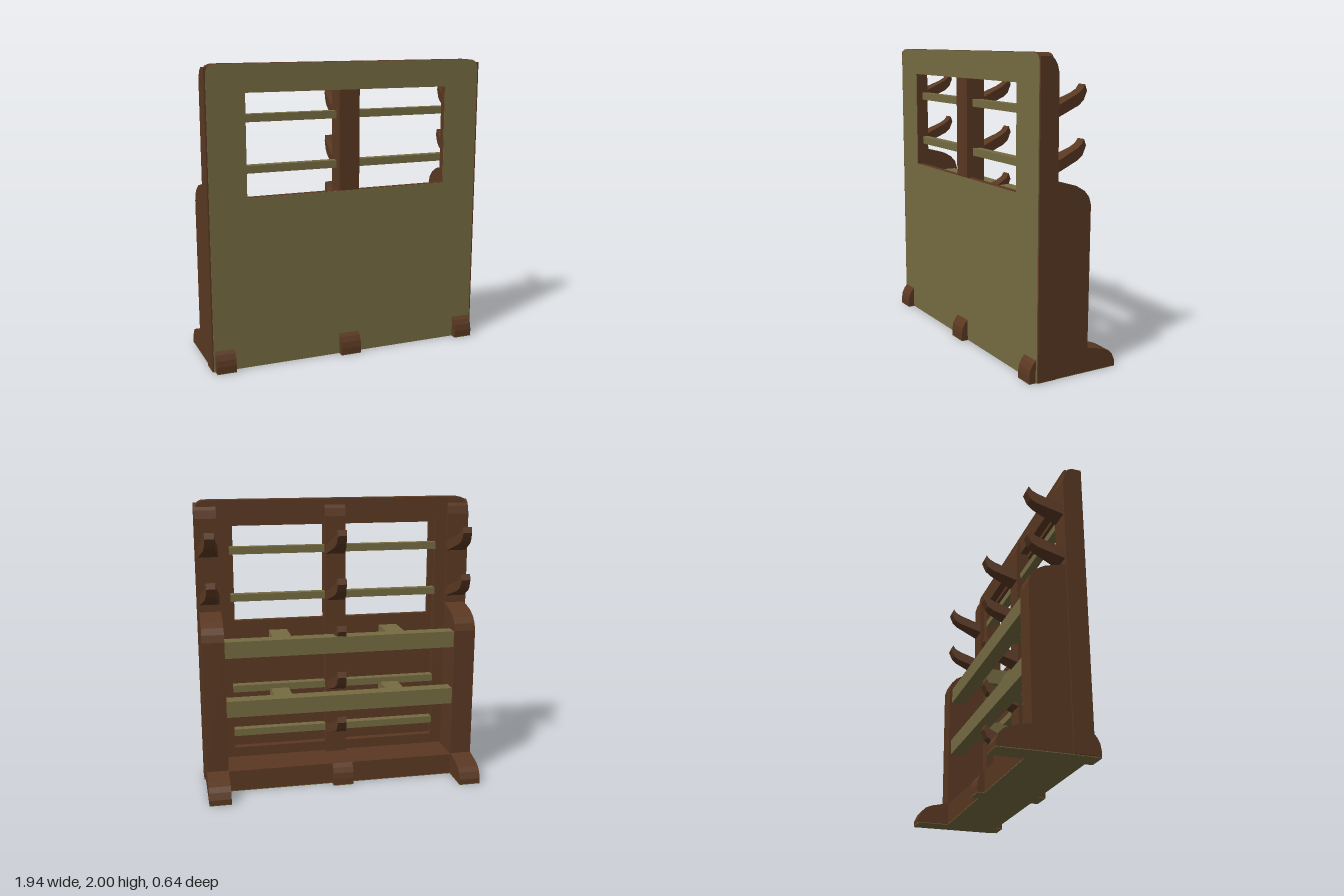
import * as THREE from 'three';

const FRONT = 0.27, SKIN = 0.004;

export function createModel() {
  const group = new THREE.Group();
  const brown = new THREE.MeshStandardMaterial({ color: 0x5a3822 });
  brown.name = 'dark wood';
  const olive = new THREE.MeshStandardMaterial({ color: 0x756b41 });
  olive.name = 'olive wood';

  const add = (name, geo, mat) => {
    const mesh = new THREE.Mesh(geo, mat);
    mesh.name = name;
    group.add(mesh);
    return mesh;
  };
  // Box given by its limits on each axis
  const box = (name, [x0, x1], [y0, y1], [z0, z1], mat) => {
    const geo = new THREE.BoxGeometry(x1 - x0, y1 - y0, z1 - z0);
    geo.translate((x0 + x1) / 2, (y0 + y1) / 2, (z0 + z1) / 2);
    return add(name, geo, mat);
  };
  // Side profile of [z, y] points, extruded across x
  const profile = (points, x, width) => {
    const shape = new THREE.Shape(points.map(([z, y]) => new THREE.Vector2(z, y)));
    const geo = new THREE.ExtrudeGeometry(shape, { depth: width, bevelEnabled: false });
    geo.translate(0, 0, -width / 2);
    geo.rotateY(-Math.PI / 2);
    geo.translate(x, 0, 0);
    return geo;
  };
  // Board with rounded top corners and one rectangular opening
  const board = (name, half, top, hole, z0, z1, mat) => {
    const r = 0.07, s = new THREE.Shape();
    s.moveTo(-half, SKIN);
    s.lineTo(half, SKIN);
    s.lineTo(half, top - r);
    s.quadraticCurveTo(half, top, half - r, top);
    s.lineTo(-half + r, top);
    s.quadraticCurveTo(-half, top, -half, top - r);
    const [hx, y0, y1] = hole, h = new THREE.Path();
    h.moveTo(-hx, y0);
    h.lineTo(-hx, y1);
    h.lineTo(hx, y1);
    h.lineTo(hx, y0);
    s.holes.push(h);
    const geo = new THREE.ExtrudeGeometry(s, { depth: z1 - z0, bevelEnabled: false, curveSegments: 5 });
    geo.translate(0, 0, z0);
    return add(name, geo, mat);
  };

  // Frame: deep back layer, thin lower panel, olive facing
  board('backFrame', 0.96, 2, [0.74, 0.22, 1.85], 0.17, 0.225, brown);
  board('windowPanel', 0.96, 2, [0.71, 1.15, 1.82], 0.225, FRONT, brown);
  board('frontFacing', 0.96, 2, [0.71, 1.15, 1.82], FRONT, FRONT + SKIN, olive);

  // Posts with a rounded back top edge
  const postPoints = (bottom) => [
    [FRONT, bottom], [FRONT, 1.98], [0.2, 1.98], [0.175, 1.965],
    [0.155, 1.935], [0.14, 1.88], [0.14, bottom],
  ];
  for (const s of [-1, 1]) add('sidePost', profile(postPoints(SKIN), s * 0.895, 0.15), brown);
  add('centerPost', profile(postPoints(0.14), 0, 0.145), brown);

  // Cheeks flowing into the long back feet
  const cheek = [
    [0.14, SKIN], [0.14, 1.24], [0, 1.205], [-0.06, 1.17], [-0.095, 1.13], [-0.11, 1.08],
    [-0.105, 0.16], [-0.22, 0.135], [-0.27, 0.115], [-0.3, 0.085], [-0.32, 0.04], [-0.32, SKIN],
  ];
  for (const s of [-1, 1]) add('cheek', profile(cheek, s * 0.885, 0.15), brown);

  // Base beam and short rounded feet
  box('baseBeam', [-0.82, 0.82], [SKIN, 0.15], [-0.1, FRONT], brown);
  const toe = (z, d) => [
    [z, SKIN], [z, 0.15], [z + d * 0.025, 0.125], [z + d * 0.043, 0.09], [z + d * 0.05, 0.05], [z + d * 0.05, SKIN],
  ];
  for (const x of [-0.885, 0, 0.885]) add('frontFoot', profile(toe(FRONT, 1), x, x ? 0.13 : 0.145), brown);
  add('backFoot', profile(toe(-0.1, -1), 0, 0.145), brown);

  // Olive underside
  box('baseUnderside', [-0.81, 0.81], [0, SKIN], [-0.1, FRONT], olive);
  box('centerFootUnderside', [-0.072, 0.072], [0, SKIN], [-0.15, -0.1], olive);
  box('frontFootUnderside', [-0.072, 0.072], [0, SKIN], [FRONT, 0.32], olive);
  for (const s of [-1, 1]) {
    box('sideUnderside', [s * 0.885 - 0.075, s * 0.885 + 0.075], [0, SKIN], [-0.32, FRONT], olive);
    box('frontFootUnderside', [s * 0.885 - 0.065, s * 0.885 + 0.065], [0, SKIN], [FRONT, 0.32], olive);
  }

  // Upturned hooks, narrowing toward the tip
  const hookPoints = [
    [0.14, 0], [0.14, 0.07], [-0.02, 0.135], [-0.06, 0.16], [-0.08, 0.19],
    [-0.097, 0.15], [-0.07, 0.094], [-0.03, 0.065],
  ];
  const hook = (x, y) => {
    const geo = profile(hookPoints, 0, 2);
    const p = geo.attributes.position;
    for (let i = 0; i < p.count; i++) {
      const t = (0.14 - p.getZ(i)) / 0.24;
      p.setX(i, p.getX(i) * (0.068 - 0.038 * t));
    }
    geo.computeVertexNormals();
    geo.translate(x, y, 0);
    add('hook', geo, brown);
  };
  for (let i = 0; i < 5; i++) {
    const y = 1.62 - i * 0.33;
    hook(0, y);
    if (i < 2) for (const s of [-1, 1]) hook(s * 0.885, y);
    // Thin slats at each hook level
    for (const s of [-1, 1]) {
      const xs = s > 0 ? [0.07, 0.74] : [-0.74, -0.07];
      box('slat', xs, [y + 0.01, y + 0.06], [0.165, 0.225], olive);
    }
  }

  // Heavy cross rails with spacer blocks behind them
  for (const y of [0.54, 0.96]) {
    box('crossRail', [-0.815, 0.815], [y, y + 0.115], [-0.09, 0.01], olive);
    for (const s of [-1, 1]) {
      box('railSpacer', [s * 0.405 - 0.065, s * 0.405 + 0.065], [y, y + 0.115], [0.01, 0.225], olive);
    }
  }
  return group;
}
